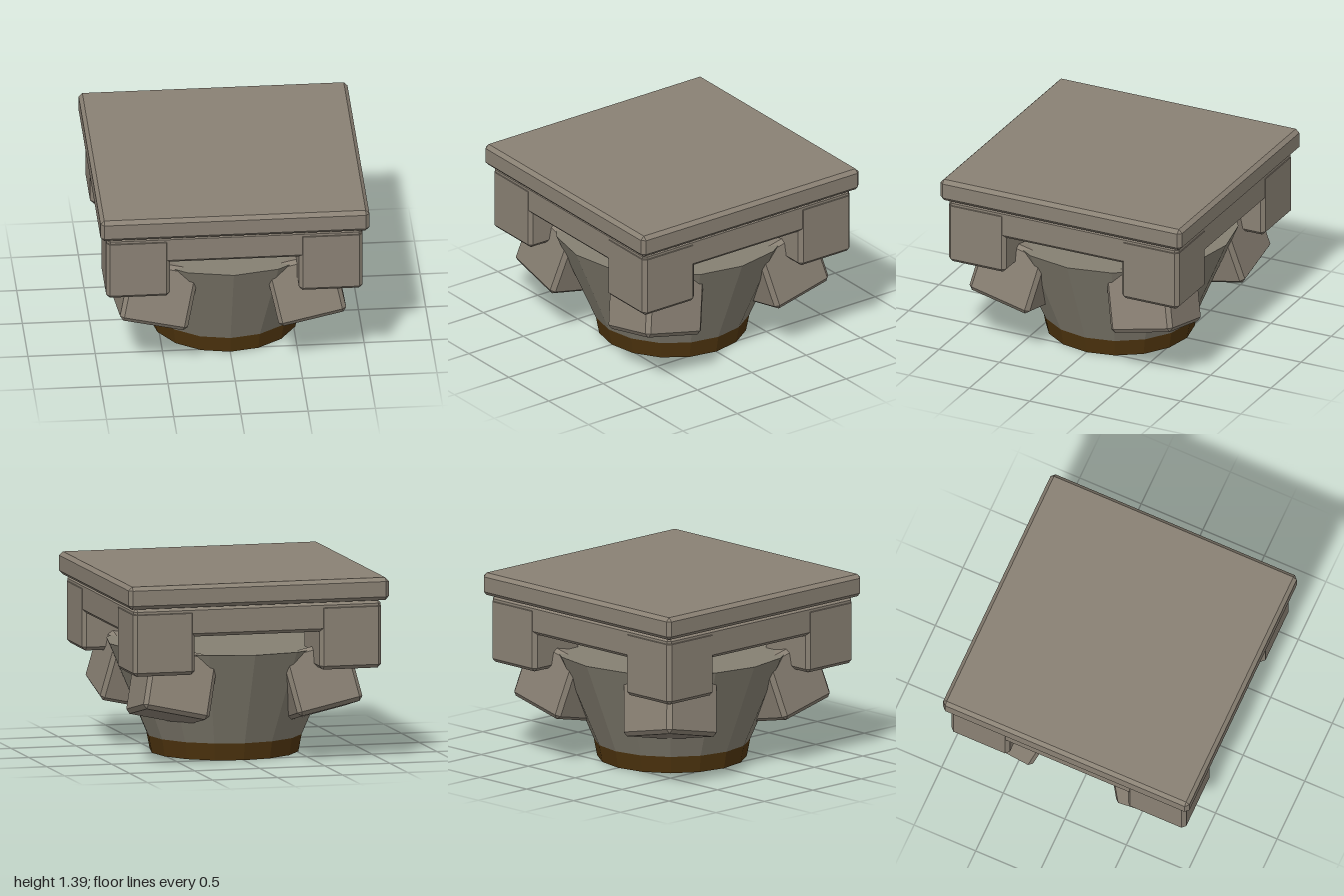
import * as THREE from 'three';
import { ConvexGeometry } from 'three/addons/geometries/ConvexGeometry.js';

// Box with every edge chamfered by b
function chamferBox(w, h, d, b) {
  const pts = [];
  for (const sx of [-1, 1]) for (const sy of [-1, 1]) for (const sz of [-1, 1]) {
    const c = [sx * w / 2, sy * h / 2, sz * d / 2];
    const s = [sx, sy, sz];
    for (let keep = 0; keep < 3; keep++) {
      pts.push(new THREE.Vector3(...c.map((v, i) => (i === keep ? v : v - s[i] * b))));
    }
  }
  return new ConvexGeometry(pts);
}

export function createModel() {
  const model = new THREE.Group();
  model.name = 'columnCapital';

  const stone = new THREE.MeshStandardMaterial({ color: 0x8a8174 });
  stone.name = 'stone';
  const bellStone = new THREE.MeshStandardMaterial({ color: 0x858072, flatShading: true });
  bellStone.name = 'bell stone';
  const bronze = new THREE.MeshStandardMaterial({ color: 0x4e340e, flatShading: true });
  bronze.name = 'dark bronze';

  const add = (name, geometry, material, parent = model) => {
    const mesh = new THREE.Mesh(geometry, material);
    mesh.name = name;
    parent.add(mesh);
    return mesh;
  };

  // Base band and flared bell, 16 sides
  add('baseBand', new THREE.CylinderGeometry(0.58, 0.555, 0.13, 16), bronze).position.y = 0.065;
  add('bell', new THREE.CylinderGeometry(0.88, 0.58, 0.7, 16), bellStone).position.y = 0.48;

  // Top slab and the block under it
  add('topSlab', chamferBox(2, 0.17, 2, 0.028), stone).position.y = 1.305;
  add('upperBlock', chamferBox(1.9, 0.225, 1.9, 0.025), stone).position.y = 1.1075;

  // Corner posts hanging from the block, and tilted cube brackets on the diagonals
  const postGeometry = chamferBox(0.475, 0.49, 0.475, 0.028);
  const bracketGeometry = chamferBox(0.515, 0.48, 0.515, 0.03);
  bracketGeometry.rotateY(Math.PI / 4);
  for (let i = 0; i < 4; i++) {
    const corner = new THREE.Group();
    corner.name = 'corner' + (i + 1);
    corner.rotation.y = Math.PI / 4 + i * Math.PI / 2;
    model.add(corner);

    const post = add('cornerPost', postGeometry, stone, corner);
    post.position.set(0.7165 * Math.SQRT2, 0.955, 0);
    post.rotation.y = Math.PI / 4;

    const bracket = add('bracket', bracketGeometry, stone, corner);
    bracket.position.set(0.778, 0.583, 0);
    bracket.rotation.z = 0.305;
  }
  return model;
}
